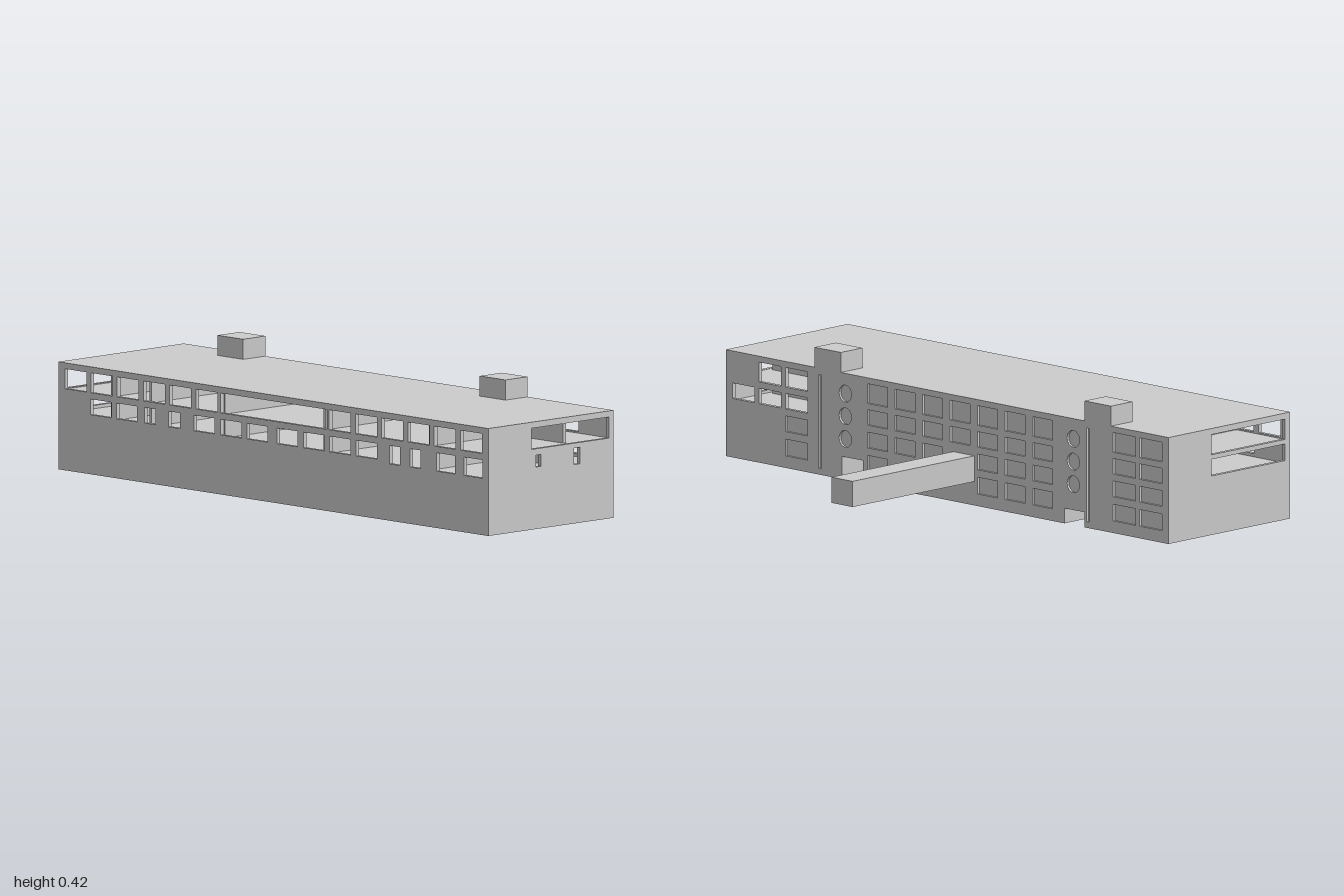
import * as THREE from 'three';

const material = new THREE.MeshStandardMaterial({ color: 0xcccccc, flatShading: true });
const H = 0.352, D = 0.565, T = 0.014;

// Box given by its minimum and maximum corners
function block(parent, name, x0, x1, y0, y1, z0, z1) {
  const mesh = new THREE.Mesh(new THREE.BoxGeometry(x1 - x0, y1 - y0, z1 - z0), material);
  mesh.position.set((x0 + x1) / 2, (y0 + y1) / 2, (z0 + z1) / 2);
  mesh.name = name;
  parent.add(mesh);
  return mesh;
}

// Flat slab: outline with optional notches [a, b, depth] in its lower edge and holes
function slab(u0, u1, v0, v1, depth, holes, notches = []) {
  const pts = [[u0, v0]];
  for (const [a, b, h] of notches) pts.push([a, v0], [a, v0 + h], [b, v0 + h], [b, v0]);
  pts.push([u1, v0], [u1, v1], [u0, v1]);
  const shape = new THREE.Shape(pts.map(p => new THREE.Vector2(...p)));
  for (const h of holes) {
    const path = new THREE.Path();
    if (h.length === 3) path.absarc(h[0], h[1], h[2], 0, Math.PI * 2, true);
    else {
      const [a, b, c, d] = h;
      path.setFromPoints([[a, c], [a, d], [b, d], [b, c]].map(p => new THREE.Vector2(...p)));
    }
    shape.holes.push(path);
  }
  return new THREE.ExtrudeGeometry(shape, { depth, bevelEnabled: false, curveSegments: 8 });
}

function add(parent, name, geometry) {
  const mesh = new THREE.Mesh(geometry, material);
  mesh.name = name;
  parent.add(mesh);
}

export function createModel() {
  const g = new THREE.Group();
  g.name = 'schoolBuilding';
  const top = [0.267, 0.332], low = [0.195, 0.246];

  // Front wall: upper windows either side of one long window, and a lower row
  const front = [[-0.245, 0.25, ...top]];
  for (let i = 0; i < 6; i++) {
    const x = -0.97 + i * 0.122;
    front.push([x, x + 0.1, ...top], [-x - 0.1, -x, ...top]);
  }
  for (const x of [-0.85, -0.73, -0.37, -0.245, -0.123, 0.016, 0.14, 0.262, 0.385])
    front.push([x, x + 0.097, ...low]);
  for (const x of [-0.6, -0.487]) front.push([x, x + 0.052, ...low]);
  for (const x of [0.54, 0.636]) front.push([x, x + 0.048, 0.186, 0.246]);
  for (const x of [0.76, 0.887]) front.push([x, x + 0.085, 0.186, 0.246]);
  add(g, 'frontWall', slab(-1, 1, 0, H - T, T, front).translate(0, 0, D - T));

  // End walls
  const right = [[0.02, 0.37, 0.263, 0.332], [0.327, 0.35, 0.203, 0.242], [0.151, 0.178, 0.193, 0.247]];
  const left = [[0.2, 0.54, 0.265, 0.332], [0.2, 0.54, 0.195, 0.25]];
  add(g, 'rightWall', slab(T, D - T, 0, H - T, T, right).rotateY(-Math.PI / 2).translate(1, 0, 0));
  add(g, 'leftWall', slab(T, D - T, 0, H - T, T, left).rotateY(-Math.PI / 2).translate(-1 + T, 0, 0));

  // Back wall: open windows at one end, shallow recessed panels elsewhere
  const rows = [top, low, [0.12, 0.172], [0.04, 0.095]];
  const open = [[0.75, 0.85, ...top], [0.63, 0.73, ...top]];
  for (const x of [0.63, 0.75, 0.87]) open.push([x, x + 0.1, ...low]);
  const door = [0.175, 0.205, 0.02, 0.075];
  const recessed = [[0.57, 0.582, 0.02, 0.33], [-0.642, -0.63, 0.02, 0.33]];
  for (const r of rows) {
    for (let i = 0; i < 7; i++) {
      const x = 0.27 - i * 0.1245;
      const behindPassage = x < -0.02 && x > -0.22 && r[0] < 0.17;
      const overDoor = Math.abs(x - 0.15) < 0.02 && r[0] < 0.1;
      if (!behindPassage && !overDoor) recessed.push([x, x + 0.09, ...r]);
    }
    for (const x of [-0.85, -0.97]) recessed.push([x, x + 0.1, ...r]);
    if (r[0] < 0.19) recessed.push([0.63, 0.73, ...r]);
  }
  for (const x of [0.46, -0.57]) for (const y of [0.285, 0.21, 0.135]) recessed.push([x, y, 0.028]);
  const porches = [[-0.62, -0.53, 0.05], [0.38, 0.475, 0.075]];
  add(g, 'backWall', slab(-1, 1, 0, H - T, 0.008, [...open, ...recessed, door], porches));
  add(g, 'backPanels', slab(-1, 1, 0, H - T, 0.006, [...open, door], porches).translate(0, 0, 0.008));
  block(g, 'backDoor', 0.17, 0.21, 0.015, 0.08, 0.04, 0.045);

  // Ground floor, cut away at the two porches
  const cuts = porches.map(([a, b]) => [a, b, 0.1 - T]);
  add(g, 'groundFloor', slab(-1 + T, 1 - T, T, D - T, 0.008, [], cuts).rotateX(Math.PI / 2).translate(0, 0.008, 0));
  for (const [a, b, h] of porches) {
    const porch = new THREE.Group();
    porch.name = 'porch';
    block(porch, 'porchCeiling', a - 0.005, b + 0.005, h, h + 0.005, T, 0.105);
    block(porch, 'porchBack', a, b, 0, h, 0.1, 0.105);
    block(porch, 'porchSide', a - 0.005, a, 0.008, h, T, 0.105);
    block(porch, 'porchSide', b, b + 0.005, 0.008, h, T, 0.105);
    g.add(porch);
  }

  // Upper floors, corridor wall and room partitions
  block(g, 'middleFloor', -1 + T, 1 - T, 0.176, 0.184, T, D - T);
  block(g, 'upperFloor', -1 + T, 1 - T, 0.252, 0.262, T, D - T);
  for (const [y0, y1] of [[0.184, 0.252], [0.262, H - T]]) {
    block(g, 'corridorWall', -0.98, 0.75, y0, y1, 0.185, 0.2);
    block(g, 'corridorWall', 0.77, 0.97, y0, y1, 0.185, 0.2);
    for (const x of [-0.77, -0.59, -0.25, 0.22, 0.71])
      block(g, 'partition', x, x + 0.01, y0, y1, 0.2, D - T);
  }

  // Roof, rooftop boxes and rear passage
  block(g, 'roof', -1, 1, H - T, H, 0, D);
  for (const x of [-0.74, 0.48]) block(g, 'roofBox', x, x + 0.12, H, 0.418, 0, 0.1);
  block(g, 'rearPassage', -0.123, -0.027, 0.079, 0.164, -D, 0);
  return g;
}
